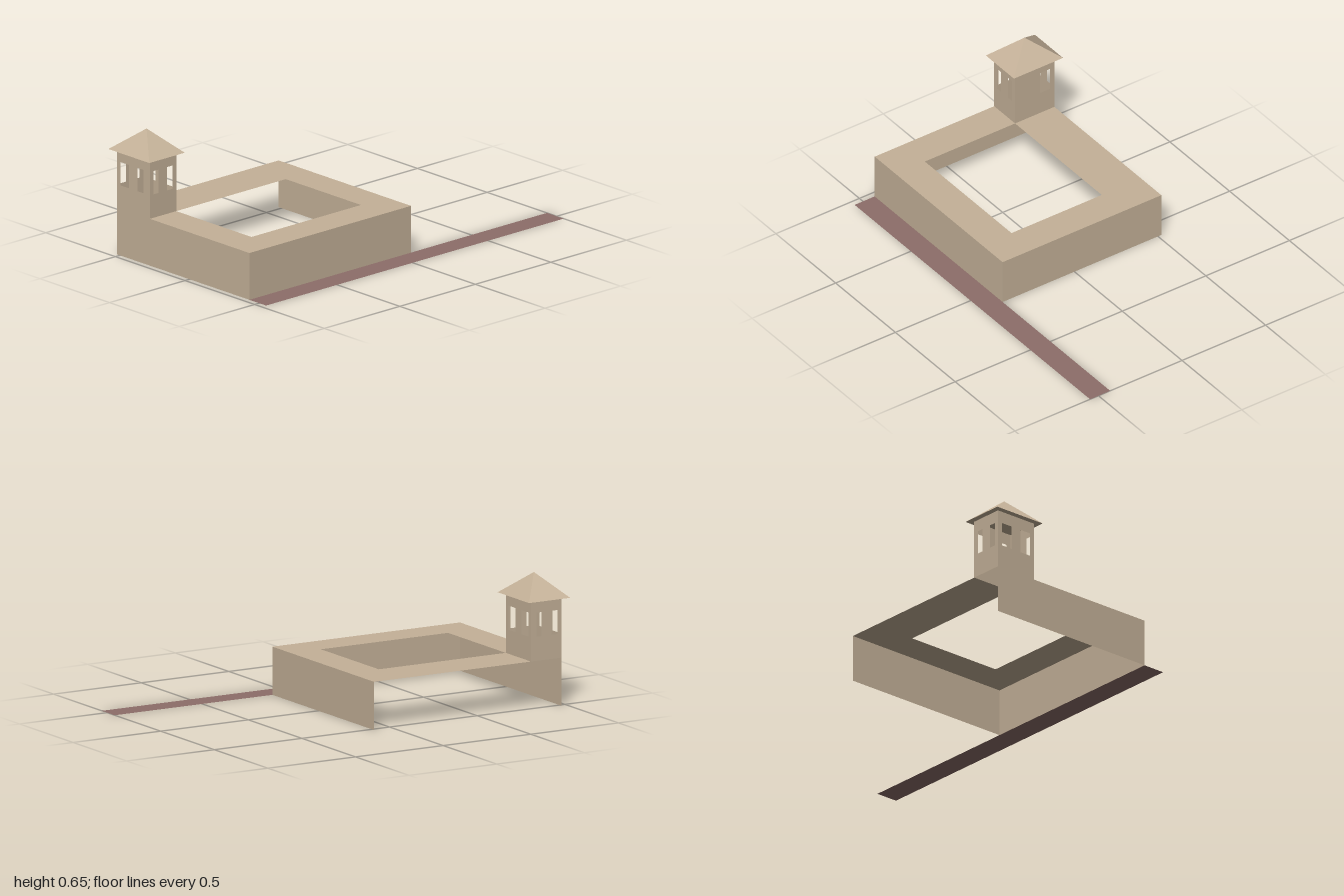
import * as THREE from 'three';

const stone = new THREE.MeshStandardMaterial({ color: 0xc4b198, side: THREE.DoubleSide, flatShading: true });
const path = new THREE.MeshStandardMaterial({ color: 0x8d6e69, side: THREE.DoubleSide, flatShading: true });

// Main dimensions: building footprint, courtyard, tower
const X0 = -0.52, X1 = 0.43, Z0 = -0.1, Z1 = 0.97;
const CX0 = -0.285, CX1 = 0.255, CZ0 = 0.07, CZ1 = 0.795;
const H = 0.24, TOP = 0.54;

const polygon = (pts) => new THREE.Shape(pts.map(([x, y]) => new THREE.Vector2(x, y)));
const rect = (a, b, c, d) => [[a, c], [b, c], [b, d], [a, d]];

// Flat panel with optional holes
function panel(name, pts, holes = [], material = stone) {
  const shape = polygon(pts);
  holes.forEach((h) => shape.holes.push(polygon(h)));
  const mesh = new THREE.Mesh(new THREE.ShapeGeometry(shape), material);
  mesh.name = name;
  return mesh;
}

// Panel orientations: facing z, facing x (shape x = -z), lying flat (shape y = -z)
const atZ = (mesh, z) => { mesh.position.z = z; return mesh; };
const atX = (mesh, x) => { mesh.rotation.y = Math.PI / 2; mesh.position.x = x; return mesh; };
const atY = (mesh, y) => { mesh.rotation.x = -Math.PI / 2; mesh.position.y = y; return mesh; };

export function createModel() {
  const model = new THREE.Group();
  model.name = 'courtyardBuilding';

  // Window openings of the tower
  const wideWindows = [rect(-0.495, -0.433, 0.36, 0.48), rect(-0.373, -0.311, 0.36, 0.48)];
  const narrowWindows = [rect(-0.947, -0.912, 0.36, 0.48), rect(-0.856, -0.821, 0.36, 0.48)];

  // Outer walls; the front one rises into the tower, the right side is open
  model.add(
    atZ(panel('frontWall', [[X0, 0], [X1, 0], [X1, H], [CX0, H], [CX0, TOP], [X0, TOP]], wideWindows), Z1),
    atZ(panel('backWall', rect(X0, X1, 0, H)), Z0),
    atX(panel('leftWall', rect(-Z1, -Z0, 0, H)), X1)
  );

  // Flat roof around the courtyard, left open beneath the tower
  model.add(atY(panel('flatRoof',
    [[CX0, -Z1], [X1, -Z1], [X1, -Z0], [X0, -Z0], [X0, -CZ1], [CX0, -CZ1],
      [CX0, -CZ0], [CX1, -CZ0], [CX1, -CZ1], [CX0, -CZ1]]), H));

  // Tower walls
  const tower = new THREE.Group();
  tower.name = 'tower';
  tower.add(atZ(panel('towerBackWall', rect(X0, CX0, H, TOP), wideWindows), CZ1));
  for (const [name, x] of [['towerLeftWall', CX0], ['towerRightWall', X0]]) {
    tower.add(atX(panel(name, rect(-Z1, -CZ1, H, TOP), narrowWindows), x));
  }

  // Pyramid roof with overhanging eaves
  const pyramid = new THREE.ConeGeometry(Math.SQRT1_2, 1, 4).rotateY(Math.PI / 4);
  pyramid.scale(0.294, 0.115, 0.235).translate(-0.4035, TOP + 0.0575, 0.8825);
  const towerRoof = new THREE.Mesh(pyramid.toNonIndexed(), stone);
  towerRoof.geometry.computeVertexNormals();
  towerRoof.name = 'towerRoof';
  tower.add(towerRoof);
  model.add(tower);

  // Long path beside the building
  model.add(atY(panel('path', rect(X1, 0.55, -Z1, 1), [], path), 0));

  return model;
}
